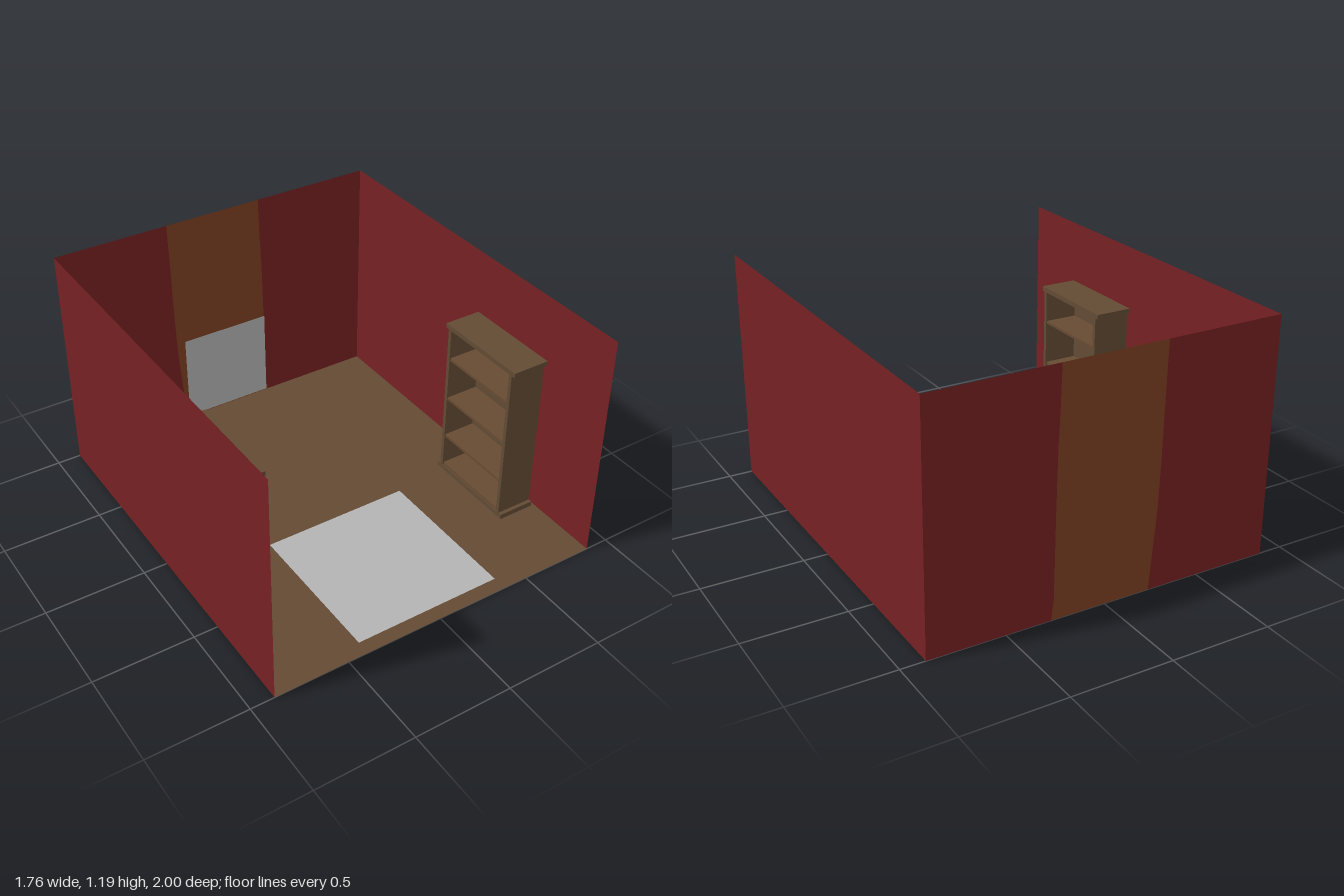
import * as THREE from 'three';

export function createModel() {
  const model = new THREE.Group();
  model.name = 'room';

  const paint = (name, color, side = THREE.DoubleSide) => {
    const m = new THREE.MeshStandardMaterial({ color, side });
    m.name = name;
    return m;
  };
  const red = paint('wall red', 0x762123);
  const orange = paint('stripe orange', 0x7c4021);
  const floorWood = paint('floor brown', 0x634a34);
  const caseWood = paint('bookcase brown', 0x624b34, THREE.FrontSide);
  const shelfWood = paint('shelf brown', 0x684b33, THREE.FrontSide);
  const pale = paint('pale grey', 0xb3b3b3);

  const W = 0.88, H = 1.19, D = 1;

  const add = (parent, name, geometry, material, x = 0, y = 0, z = 0) => {
    const mesh = new THREE.Mesh(geometry, material);
    mesh.name = name;
    mesh.position.set(x, y, z);
    parent.add(mesh);
    return mesh;
  };

  // Floor and the two side walls are single sheets
  add(model, 'floor', new THREE.PlaneGeometry(2 * W, 2 * D).rotateX(-Math.PI / 2), floorWood);
  for (const [name, s] of [['leftWall', 1], ['rightWall', -1]]) {
    const sheet = new THREE.PlaneGeometry(2 * D, H).rotateY(-s * Math.PI / 2);
    add(model, name, sheet, red, s * W, H / 2, 0);
  }

  // Back wall: red panels either side of a slightly wavy stripe
  const edgeA = [[-0.235, 0], [-0.25, 0.2], [-0.265, 0.4], [-0.272, 0.65], [-0.275, 0.95], [-0.28, H]];
  const edgeB = [[0.275, 0], [0.263, 0.1], [0.261, 0.5], [0.257, 0.8], [0.25, 1.0], [0.246, H]];
  const backPanel = (name, left, right, material) => {
    const outline = [...left, ...[...right].reverse()].map(([x, y]) => new THREE.Vector2(x, y));
    add(model, name, new THREE.ShapeGeometry(new THREE.Shape(outline)), material, 0, 0, -D);
  };
  backPanel('backWallRight', [[-W, 0], [-W, H]], edgeA, red);
  backPanel('backWallStripe', edgeA, edgeB, orange);
  backPanel('backWallLeft', edgeB, [[W, 0], [W, H]], red);

  // Pale panel on the back wall and rug on the floor
  add(model, 'wallPanel', new THREE.PlaneGeometry(0.485, 0.48), pale, 0.02, 0.246, -D + 0.004);
  add(model, 'rug', new THREE.PlaneGeometry(0.77, 0.775).rotateX(-Math.PI / 2), pale, -0.015, 0.004, 0.542);

  // Bookcase opening towards +x, with cap and plinth overhanging at the ends
  const makeBookcase = (name) => {
    const g = new THREE.Group();
    g.name = name;
    const depth = 0.195, length = 0.48, low = 0.035, high = 0.855, t = 0.02;
    const box = (part, sx, sy, sz, x, y, z, mat = caseWood) =>
      add(g, part, new THREE.BoxGeometry(sx, sy, sz), mat, x, y, z);
    box('cap', depth, 0.025, 0.52, 0, high + 0.0125, 0);
    box('plinth', depth, 0.027, 0.52, 0, low - 0.0135, 0);
    box('backBoard', 0.015, high - low, length - 2 * t, -depth / 2 + 0.0075, (low + high) / 2, 0);
    for (const s of [-1, 1]) {
      box('sideBoard', depth, high - low, t, 0, (low + high) / 2, s * (length - t) / 2);
    }
    for (const top of [0.05, 0.23, 0.46, 0.695]) {
      box('shelf', depth - 0.02, 0.015, length - 2 * t, 0.005, top - 0.0075, 0, shelfWood);
    }
    model.add(g);
    return g;
  };
  makeBookcase('rightBookcase').position.set(-0.767, 0, 0.35);
  const leftCase = makeBookcase('leftBookcase');
  leftCase.position.set(0.757, 0, 0.35);
  leftCase.rotation.y = Math.PI;

  return model;
}
